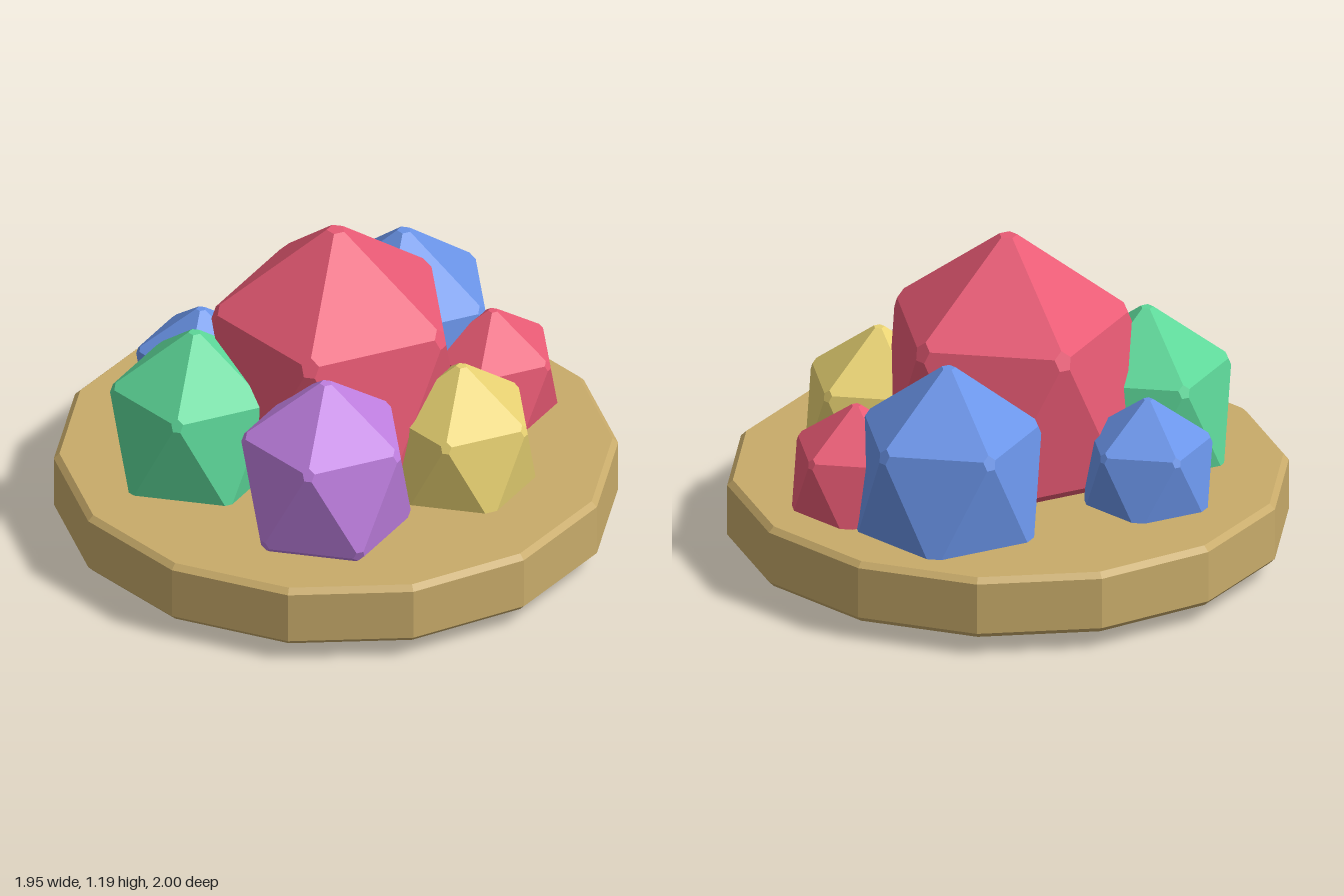
import * as THREE from 'three';
import { ConvexGeometry } from 'three/addons/geometries/ConvexGeometry.js';

const paint = (color) => new THREE.MeshStandardMaterial({ color, flatShading: true });

// Upright icosahedron, stretched in y, with every corner cut off by a small facet
function gemGeometry(radius, halfHeight, cut = 0.075) {
  const corners = [new THREE.Vector3(0, 1, 0), new THREE.Vector3(0, -1, 0)];
  const ringY = 1 / Math.sqrt(5), ringR = 2 / Math.sqrt(5);
  for (let i = 0; i < 5; i++) {
    const a = (i * Math.PI * 2) / 5;
    const x = ringR * Math.cos(a), z = ringR * Math.sin(a);
    corners.push(new THREE.Vector3(x, ringY, z), new THREE.Vector3(-x, -ringY, -z));
  }
  const points = [];
  for (const a of corners) {
    for (const b of corners) {
      const d = a.distanceTo(b);
      if (d > 0.1 && d < 1.2) points.push(a.clone().lerp(b, cut));
    }
  }
  const scale = new THREE.Vector3(radius, halfHeight, radius);
  return new ConvexGeometry(points.map((p) => p.multiply(scale)));
}

export function createModel() {
  const model = new THREE.Group();
  model.name = 'crystalCluster';

  // Fourteen-sided base plate with chamfered rims
  const profile = [[0, 0.065], [0.98, 0.065], [1, 0.085], [1, 0.275], [0.98, 0.295], [0, 0.295]]
    .map(([r, y]) => new THREE.Vector2(r, y));
  const base = new THREE.Mesh(new THREE.LatheGeometry(profile, 14), paint(0xc8ab6a));
  base.name = 'basePlate';
  model.add(base);

  // Crystals: name, colour, centre x y z, radius, half height
  const red = 0xe85a74, blue = 0x6a94e8;
  const gems = [
    ['centralRedCrystal', red, 0, 0.604, 0, 0.5, 0.613],
    ['largeBlueCrystal', blue, 0.5, 0.448, -0.2, 0.375, 0.467],
    ['greenCrystal', 0x5cd698, -0.46, 0.45, -0.235, 0.34, 0.412],
    ['purpleCrystal', 0xbf7fe0, -0.385, 0.5, 0.38, 0.34, 0.4],
    ['yellowCrystal', 0xe8d272, 0.19, 0.41, 0.455, 0.3, 0.362],
    ['smallRedCrystal', red, 0.61, 0.385, 0.15, 0.262, 0.305],
    ['smallBlueCrystal', blue, -0.155, 0.385, -0.545, 0.26, 0.305],
  ];
  for (const [name, color, x, y, z, radius, halfHeight] of gems) {
    const gem = new THREE.Mesh(gemGeometry(radius, halfHeight), paint(color));
    gem.name = name;
    gem.position.set(x, y, z);
    model.add(gem);
  }
  return model;
}
